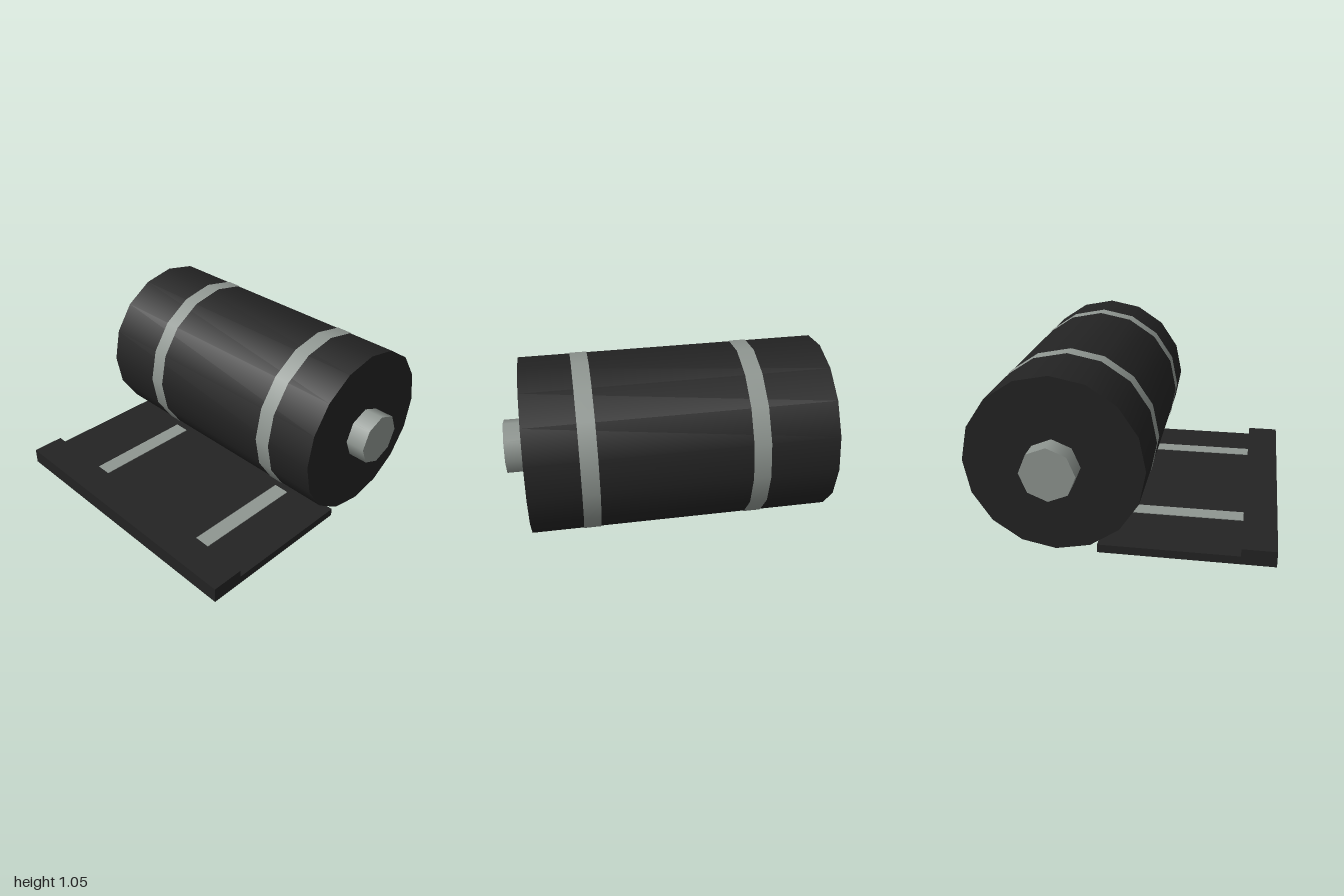
import * as THREE from 'three';

export function createModel() {
  const model = new THREE.Group();
  const fabric = new THREE.MeshStandardMaterial({ name: 'blackFabric', color: 0x232323 });
  const metal = new THREE.MeshStandardMaterial({ name: 'paleGrey', color: 0x8f9691 });

  const add = (name, geometry, material, x, y, z) => {
    const mesh = new THREE.Mesh(geometry, material);
    mesh.name = name;
    mesh.position.set(x, y, z);
    model.add(mesh);
  };

  // Cylinder lying along x, sharing the axis of the roll
  const axisY = 0.527, axisZ = -0.365;
  const drum = (name, radius, length, sides, material, x = 0, open = false) =>
    add(name, new THREE.CylinderGeometry(radius, radius, length, sides, 1, open).rotateZ(Math.PI / 2),
      material, x, axisY, axisZ);

  // Box given by its limits in y and z
  const slab = (name, width, y0, y1, z0, z1, material, x = 0) =>
    add(name, new THREE.BoxGeometry(width, y1 - y0, z1 - z0), material, x, (y0 + y1) / 2, (z0 + z1) / 2);

  // Rolled part and the axle through its middle
  drum('roll', 0.523, 1.76, 16, fabric);
  drum('axle', 0.16, 2, 8, metal);

  // Unrolled flap with a thicker bar along its front edge
  slab('flap', 1.76, 0, 0.05, -0.125, 0.69, fabric);
  slab('endBar', 1.76, 0, 0.097, 0.69, 0.89, fabric);

  // Two straps, each going round the roll and along the flap
  for (const x of [-0.43, 0.53]) {
    drum('rollStrap', 0.527, 0.1, 16, metal, x, true);
    slab('flapStrap', 0.1, 0.05, 0.054, -0.045, 0.69, metal, x);
  }

  return model;
}
